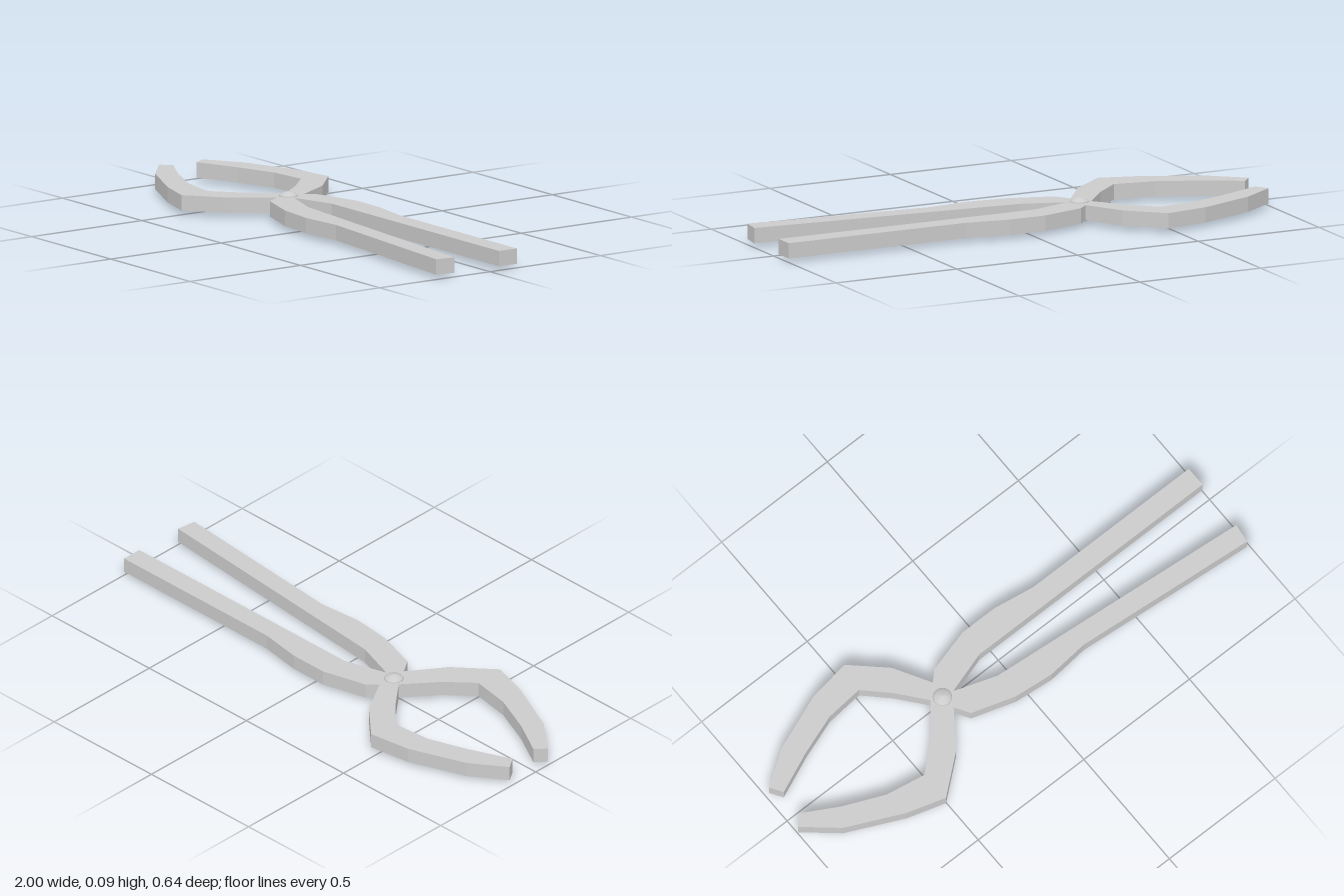
import * as THREE from 'three';

const BOTTOM = 0.015, TOP = 0.073;
const steel = new THREE.MeshStandardMaterial({ color: 0xcccccc, flatShading: true });
const rivetSteel = new THREE.MeshStandardMaterial({ color: 0xcccccc });

// One lever (jaw + handle): plan outline of [x, z] corners, extruded to bar thickness
function makeLever(name, outline) {
  const shape = new THREE.Shape(outline.map(([x, z]) => new THREE.Vector2(x, z)));
  const geometry = new THREE.ExtrudeGeometry(shape, { depth: TOP - BOTTOM, bevelEnabled: false });
  geometry.rotateX(Math.PI / 2).translate(0, TOP, 0);
  const mesh = new THREE.Mesh(geometry, steel);
  mesh.name = name;
  return mesh;
}

export function createModel() {
  const group = new THREE.Group();
  group.name = 'pliers';

  // Back jaw crossing over to the front handle, which splays outwards
  group.add(makeLever('backJawFrontHandle', [
    [-0.986, -0.123], [-0.853, -0.214], [-0.634, -0.297], [-0.468, -0.322],
    [-0.34, -0.203], [-0.26, -0.065], [-0.222, 0.01], [-0.056, 0.066],
    [0.27, 0.095], [0.997, 0.16], [0.987, 0.235], [0.265, 0.171],
    [0.1, 0.187], [-0.056, 0.171], [-0.225, 0.118], [-0.305, -0.01],
    [-0.398, -0.123], [-0.489, -0.212], [-0.639, -0.198], [-0.794, -0.144],
    [-0.955, -0.075],
  ]));

  // Front jaw crossing over to the straight back handle
  group.add(makeLever('frontJawBackHandle', [
    [-1, 0.064], [-0.965, 0.024], [-0.826, 0.102], [-0.666, 0.171],
    [-0.511, 0.198], [-0.409, 0.107], [-0.307, -0.016], [-0.222, -0.1],
    [-0.05, -0.147], [0.1, -0.147], [0.265, -0.121], [1, -0.121],
    [1, -0.041], [-0.056, -0.041], [-0.222, 0.01], [-0.263, 0.064],
    [-0.36, 0.198], [-0.505, 0.318], [-0.655, 0.273], [-0.874, 0.171],
  ]));

  // Domed rivet through the crossing
  const profile = [[0, 0], [0.018, 0.004], [0.033, 0.012], [0.036, 0.017],
    [0.036, 0.073], [0.033, 0.078], [0.018, 0.086], [0, 0.09]]
    .map(([r, y]) => new THREE.Vector2(r, y));
  const rivet = new THREE.Mesh(new THREE.LatheGeometry(profile, 16), rivetSteel);
  rivet.name = 'pivotRivet';
  rivet.position.set(-0.267, 0, 0.003);
  group.add(rivet);

  return group;
}
